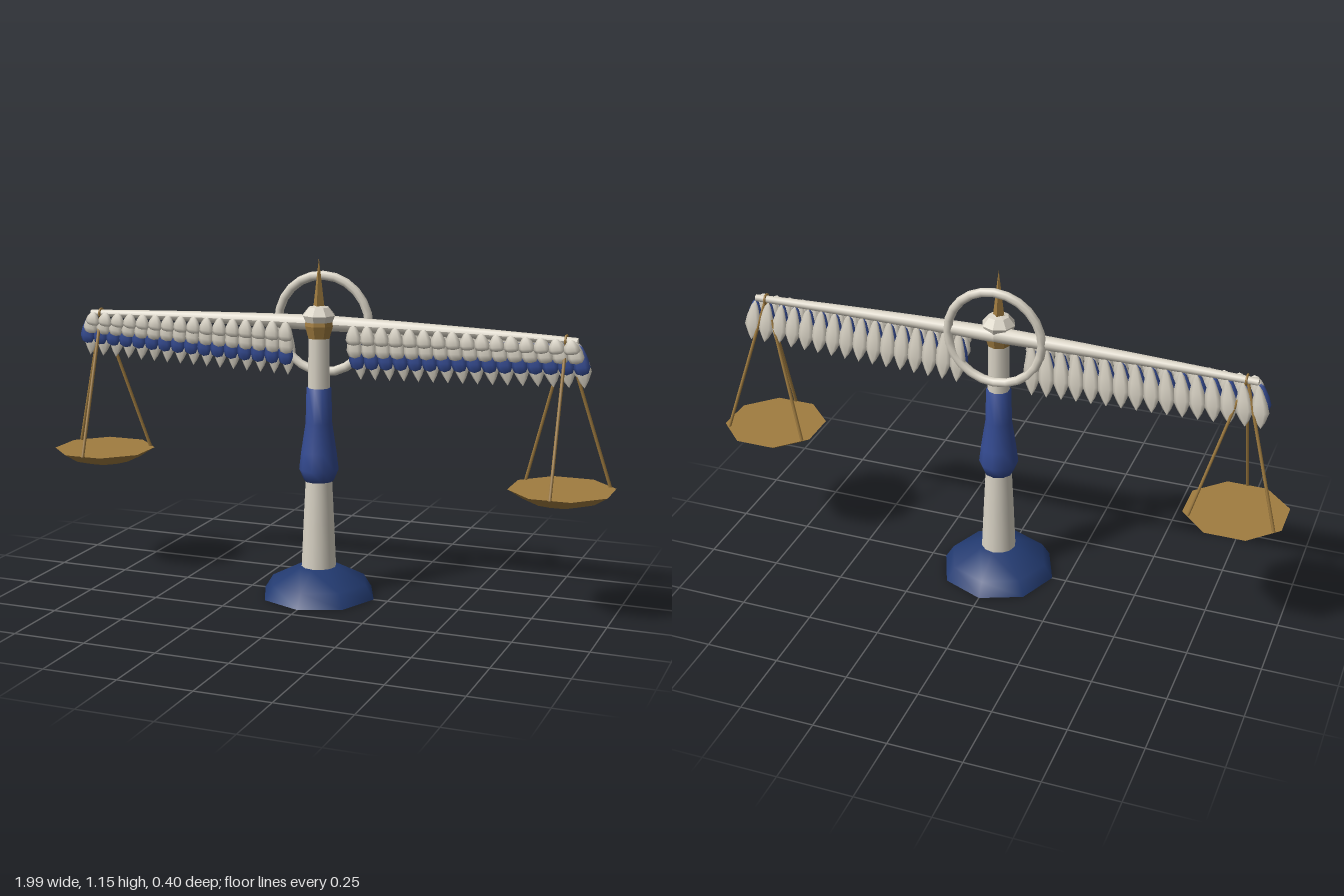
import * as THREE from 'three';

const mat = (name, color, side = THREE.FrontSide) => {
  const m = new THREE.MeshStandardMaterial({ color, side });
  m.name = name;
  return m;
};
const ivory = mat('ivory', 0xd8d2c4);
const navy = mat('navy', 0x223a70);
const blue = mat('royalBlue', 0x344b92);
const gold = mat('gold', 0xa07c40);

const flat = (g) => {
  const f = g.index ? g.toNonIndexed() : g;
  f.computeVertexNormals();
  return f;
};
const lathe = (pts, sides, start = 0) =>
  new THREE.LatheGeometry(pts.map(([r, y]) => new THREE.Vector2(r, y)), sides, start);

function add(parent, name, geometry, material, x = 0, y = 0, z = 0) {
  const mesh = new THREE.Mesh(geometry, material);
  mesh.name = name;
  mesh.position.set(x, y, z);
  parent.add(mesh);
  return mesh;
}

// Thin rod between two points
function rod(parent, name, a, b, radius, material) {
  const d = b.clone().sub(a);
  const mesh = add(parent, name, new THREE.CylinderGeometry(radius, radius, d.length(), 6), material);
  mesh.position.copy(a).add(b).multiplyScalar(0.5);
  mesh.quaternion.setFromUnitVectors(new THREE.Vector3(0, 1, 0), d.normalize());
}

// Leaf-shaped feather hanging from its root at the origin
function featherGeometry(length, width, thickness, blunt) {
  const profile = blunt
    ? [[0, -1], [0.35, -0.94], [0.5, -0.74], [0.42, -0.45], [0.2, -0.1], [0, 0]]
    : [[0, -1], [0.24, -0.86], [0.5, -0.64], [0.42, -0.42], [0.2, -0.12], [0, 0]];
  const g = lathe(profile, 6, Math.PI / 6);
  g.scale(width, length, thickness);
  return g;
}

const BEAM_Z = -0.025;

function createStand(root) {
  add(root, 'base', lathe([[0.2, 0], [0.17, 0.048], [0.07, 0.1], [0, 0.1]], 8), navy);
  const under = add(root, 'baseUnderside', new THREE.CircleGeometry(0.2, 8), ivory, 0, 0.001, 0);
  under.rotation.x = Math.PI / 2;
  add(root, 'lowerColumn', lathe([[0.06, 0.09], [0.053, 0.25], [0.045, 0.41]], 12), ivory);
  add(root, 'grip', lathe([[0, 0.4], [0.05, 0.4], [0.067, 0.44], [0.06, 0.5], [0.045, 0.6],
    [0.042, 0.72], [0, 0.72]], 10), blue);
  add(root, 'upperColumn', lathe([[0.037, 0.71], [0.034, 0.96]], 10), ivory);
  // Two-tone knob under the spike
  add(root, 'knobCap', flat(lathe([[0.046, 0.938], [0.057, 0.965], [0.035, 0.992], [0, 1.0]], 8)), ivory);
  add(root, 'knobCollar', flat(lathe([[0, 0.885], [0.038, 0.888], [0.05, 0.93], [0.046, 0.955]], 8)), gold);
  const spike = add(root, 'spike', flat(new THREE.ConeGeometry(0.022, 0.18, 4)), gold, 0, 1.065, 0);
  spike.name = 'spike';
  add(root, 'ring', new THREE.TorusGeometry(0.163, 0.0155, 8, 24), ivory, 0, 0.93, -0.041);
}

// Beam arm: tapered, slightly drooping tube, mirrored by its direction
function createArm(root, s) {
  const g = new THREE.CylinderGeometry(0.012, 0.027, 0.87, 10, 6);
  g.rotateZ(-s * Math.PI / 2);
  g.translate(s * 0.435, 0, 0);
  const p = g.attributes.position;
  for (let i = 0; i < p.count; i++) {
    const t = Math.abs(p.getX(i)) / 0.87;
    p.setY(i, p.getY(i) + 0.935 - 0.012 * t * t);
  }
  g.computeVertexNormals();
  add(root, 'beamArm', g, ivory, 0, 0, BEAM_Z);
}

// Overlapping rows of feathers below each arm
const ROWS = [
  { name: 'longFeather', n: 16, x: [0.125, 0.87], tip: [0.745, 0.768], len: [0.185, 0.15], w: 0.06, t: 0.02, z: -0.034, lean: 0.08, m: ivory },
  { name: 'blueFeather', n: 16, x: [0.125, 0.875], tip: [0.785, 0.815], len: [0.12, 0.1], w: 0.056, t: 0.022, z: -0.018, lean: 0, m: blue, blunt: true },
  { name: 'middleFeather', n: 16, x: [0.12, 0.86], tip: [0.825, 0.852], len: [0.1, 0.075], w: 0.056, t: 0.022, z: -0.009, lean: 0, m: ivory, blunt: true },
  { name: 'upperFeather', n: 16, x: [0.12, 0.85], tip: [0.868, 0.882], len: [0.07, 0.05], w: 0.056, t: 0.022, z: -0.002, lean: 0, m: ivory, blunt: true },
];

function createFeathers(root, s) {
  const group = new THREE.Group();
  group.name = 'featherFringe';
  for (const r of ROWS) {
    for (let i = 0; i < r.n; i++) {
      const t = i / (r.n - 1);
      const mix = (a) => a[0] + (a[1] - a[0]) * t;
      const len = mix(r.len);
      const f = add(group, r.name, featherGeometry(len, r.w, r.t, r.blunt), r.m,
        s * mix(r.x), mix(r.tip) + len, r.z);
      f.rotation.z = s * (0.04 + 0.1 * t);
      f.rotation.x = r.lean;
    }
  }
  root.add(group);
}

function createPan(root, s) {
  const group = new THREE.Group();
  group.name = 'hangingPan';
  const x = s * 0.832;
  const bowl = lathe([[0, 0.388], [0.065, 0.39], [0.125, 0.408], [0.177, 0.44], [0, 0.44]], 8, Math.PI / 8);
  add(group, 'pan', flat(bowl), gold, x, 0, BEAM_Z);
  const hook = new THREE.Vector3(x, 0.93, BEAM_Z);
  for (let k = 0; k < 3; k++) {
    const a = k * Math.PI * 2 / 3;
    const end = new THREE.Vector3(x + Math.sin(a) * 0.163, 0.438, BEAM_Z + Math.cos(a) * 0.163);
    rod(group, 'panRod', hook, end, 0.0055, gold);
  }
  add(group, 'hookRing', new THREE.TorusGeometry(0.016, 0.004, 6, 10), gold, x, 0.925, BEAM_Z).rotation.y = Math.PI / 2;
  root.add(group);
}

export function createModel() {
  const root = new THREE.Group();
  root.name = 'balanceScale';
  createStand(root);
  for (const s of [1, -1]) {
    createArm(root, s);
    createFeathers(root, s);
    createPan(root, s);
  }
  return root;
}
